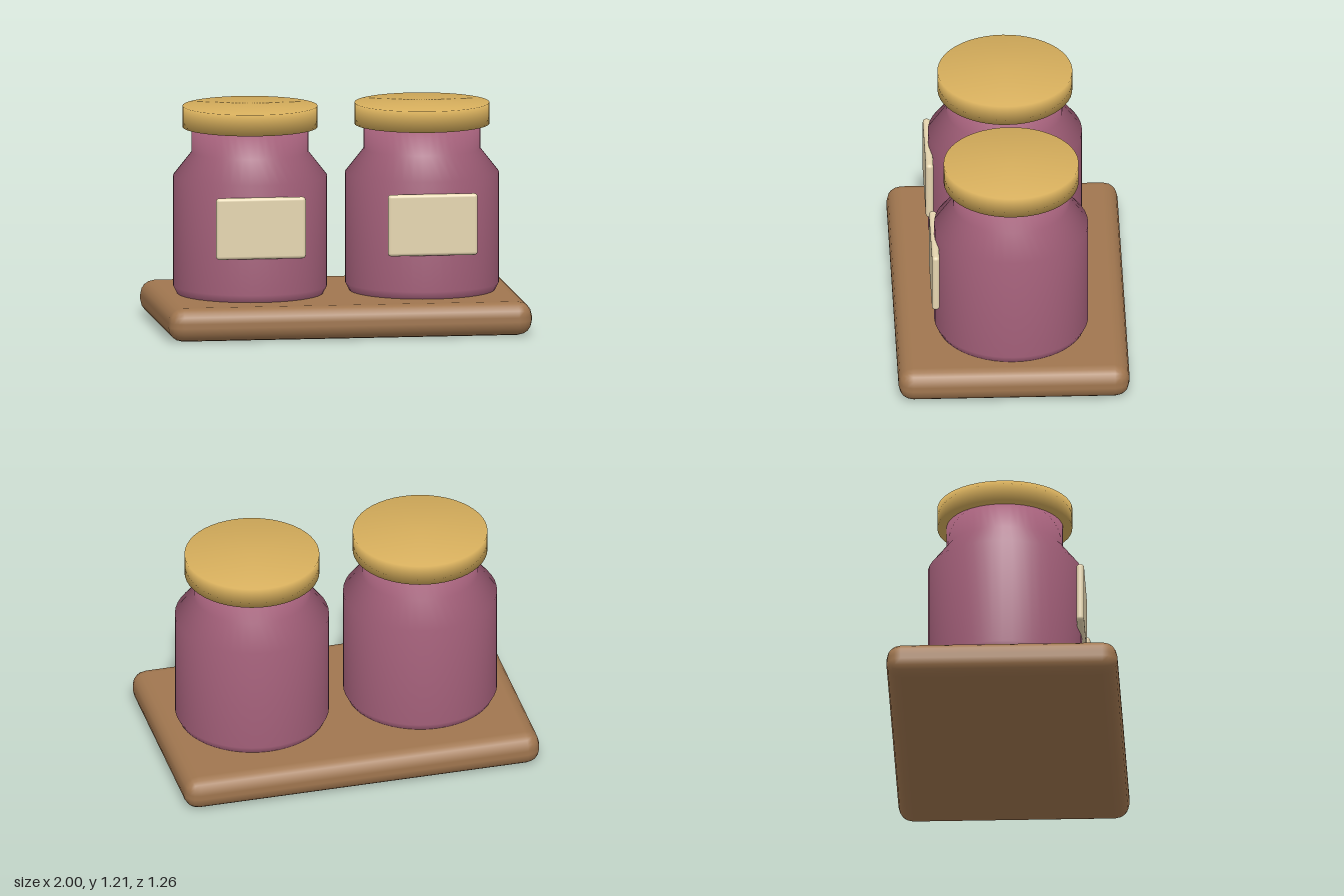
import * as THREE from 'three';
import { RoundedBoxGeometry } from 'three/addons/geometries/RoundedBoxGeometry.js';

const paint = (color) => new THREE.MeshStandardMaterial({ color });
const glaze = paint(0xa4607a);
const brass = paint(0xd6ae5c);
const wood = paint(0xa0764f);
const paper = paint(0xe6d6b0);

function part(name, geometry, material, x = 0, y = 0, z = 0) {
  const mesh = new THREE.Mesh(geometry, material);
  mesh.name = name;
  mesh.position.set(x, y, z);
  return mesh;
}

// Smooth turned shape from [radius, height] pairs, listed bottom to top
const turned = (profile) =>
  new THREE.LatheGeometry(profile.map(([r, y]) => new THREE.Vector2(r, y)), 48);

export function createModel() {
  const model = new THREE.Group();
  model.name = 'jarsOnTray';

  // Tray with rounded edges
  model.add(part('tray', new RoundedBoxGeometry(2, 0.184, 1.26, 2, 0.08), wood, 0, 0.092, 0));

  // Jar body with bevelled foot, sloped shoulder and neck
  const bodyGeometry = turned([
    [0, 0.165], [0.39, 0.165], [0.42, 0.225], [0.42, 0.83], [0.318, 0.96], [0.318, 1.11], [0, 1.11],
  ]);
  // Softly shaded flat lid
  const lidGeometry = turned([[0, 1.095], [0.368, 1.095], [0.368, 1.212], [0, 1.212]]);
  const labelGeometry = new RoundedBoxGeometry(0.494, 0.338, 0.042, 2, 0.018);

  for (const [side, x] of [['left', 0.473], ['right', -0.473]]) {
    const jar = new THREE.Group();
    jar.name = side + 'Jar';
    jar.position.x = x;
    jar.add(
      part('body', bodyGeometry, glaze),
      part('lid', lidGeometry, brass),
      part('label', labelGeometry, paper, 0, 0.596, 0.419),
    );
    model.add(jar);
  }
  return model;
}
